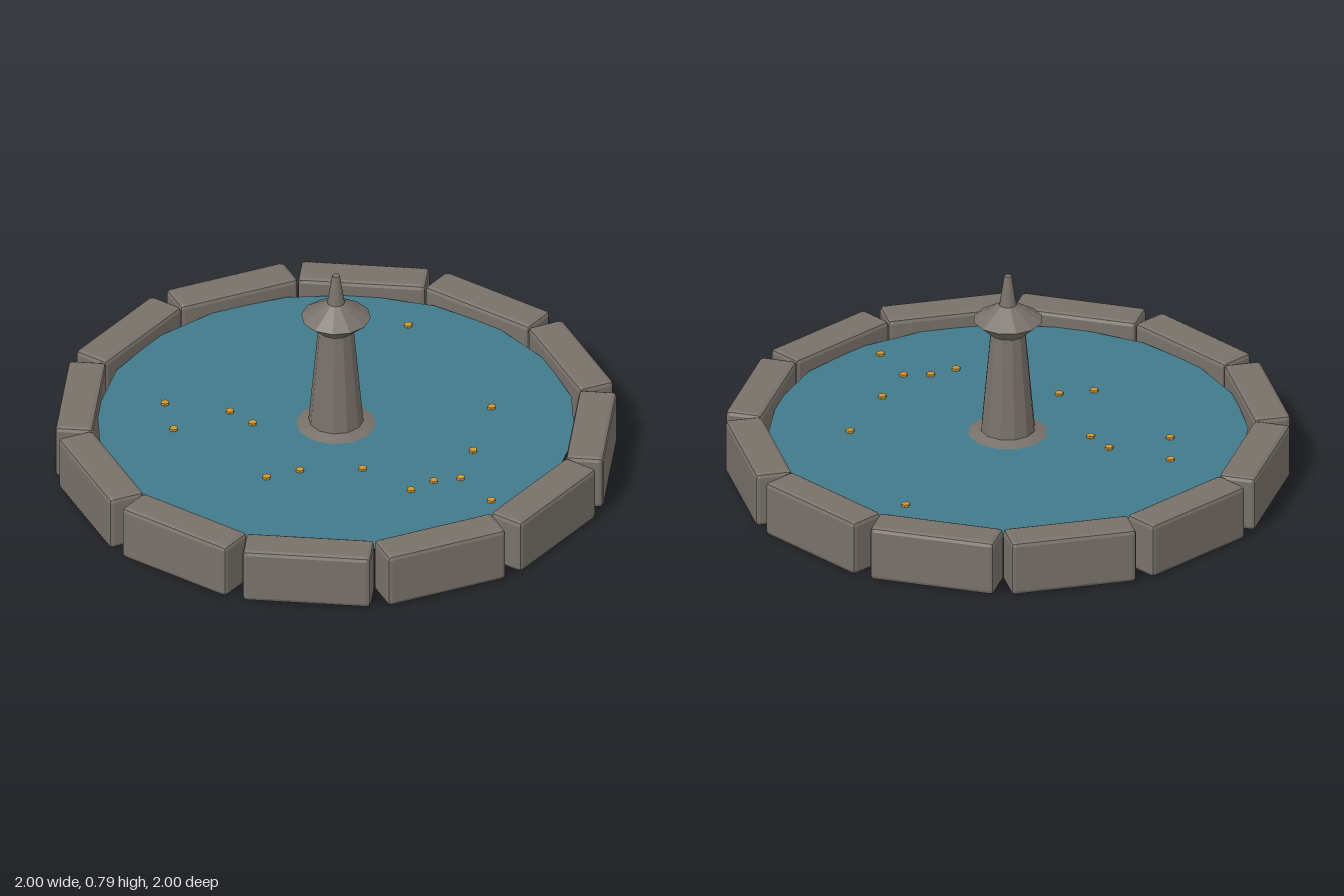
import * as THREE from 'three';
import { RoundedBoxGeometry } from 'three/addons/geometries/RoundedBoxGeometry.js';

export function createModel() {
  const model = new THREE.Group();
  model.name = 'fountain';

  const stone = new THREE.MeshStandardMaterial({ color: 0x78716a, flatShading: true });
  stone.name = 'stone';
  const water = new THREE.MeshStandardMaterial({ color: 0x427a8c, side: THREE.DoubleSide });
  water.name = 'water';
  const gold = new THREE.MeshStandardMaterial({ color: 0xcf9733, flatShading: true });
  gold.name = 'gold';

  const add = (name, geometry, material, parent = model) => {
    const mesh = new THREE.Mesh(geometry, material);
    mesh.name = name;
    parent.add(mesh);
    return mesh;
  };

  // Ring of twelve bevelled blocks
  const wall = new THREE.Group();
  wall.name = 'basinWall';
  model.add(wall);
  const block = new RoundedBoxGeometry(0.468, 0.21, 0.138, 1, 0.016);
  for (let i = 0; i < 12; i++) {
    const angle = (i * Math.PI) / 6;
    const mesh = add('wallBlock', block, stone, wall);
    mesh.position.set(Math.sin(angle) * 0.931, 0.105, Math.cos(angle) * 0.931);
    mesh.rotation.y = angle;
  }

  // Water sheet
  const waterY = 0.153;
  const sheet = new THREE.CircleGeometry(0.872, 20).rotateX(-Math.PI / 2);
  add('waterSurface', sheet, water).position.y = waterY;

  // Central pillar: submerged foot, tapered shaft, flared cap and spire
  const profile = [
    [0, 0.095], [0.2, 0.095], [0.2, 0.135], [0.1, 0.168], [0.065, 0.555],
    [0.127, 0.61], [0.032, 0.67], [0.014, 0.785], [0, 0.785],
  ].map(([r, y]) => new THREE.Vector2(r, y));
  add('pillar', new THREE.LatheGeometry(profile, 12), stone);

  // Coins floating on the water
  const coins = new THREE.Group();
  coins.name = 'coins';
  model.add(coins);
  const coin = new THREE.CylinderGeometry(0.016, 0.016, 0.009, 6);
  [
    [0.19, -0.68], [0.55, -0.16], [-0.63, -0.06], [-0.39, -0.03], [-0.3, 0.04],
    [-0.58, 0.11], [0.515, 0.14], [-0.21, 0.4], [-0.095, 0.34], [0.13, 0.305],
    [0.32, 0.43], [0.395, 0.36], [0.49, 0.33], [0.617, 0.47],
  ].forEach(([x, z]) => add('coin', coin, gold, coins).position.set(x, waterY + 0.005, z));

  return model;
}
